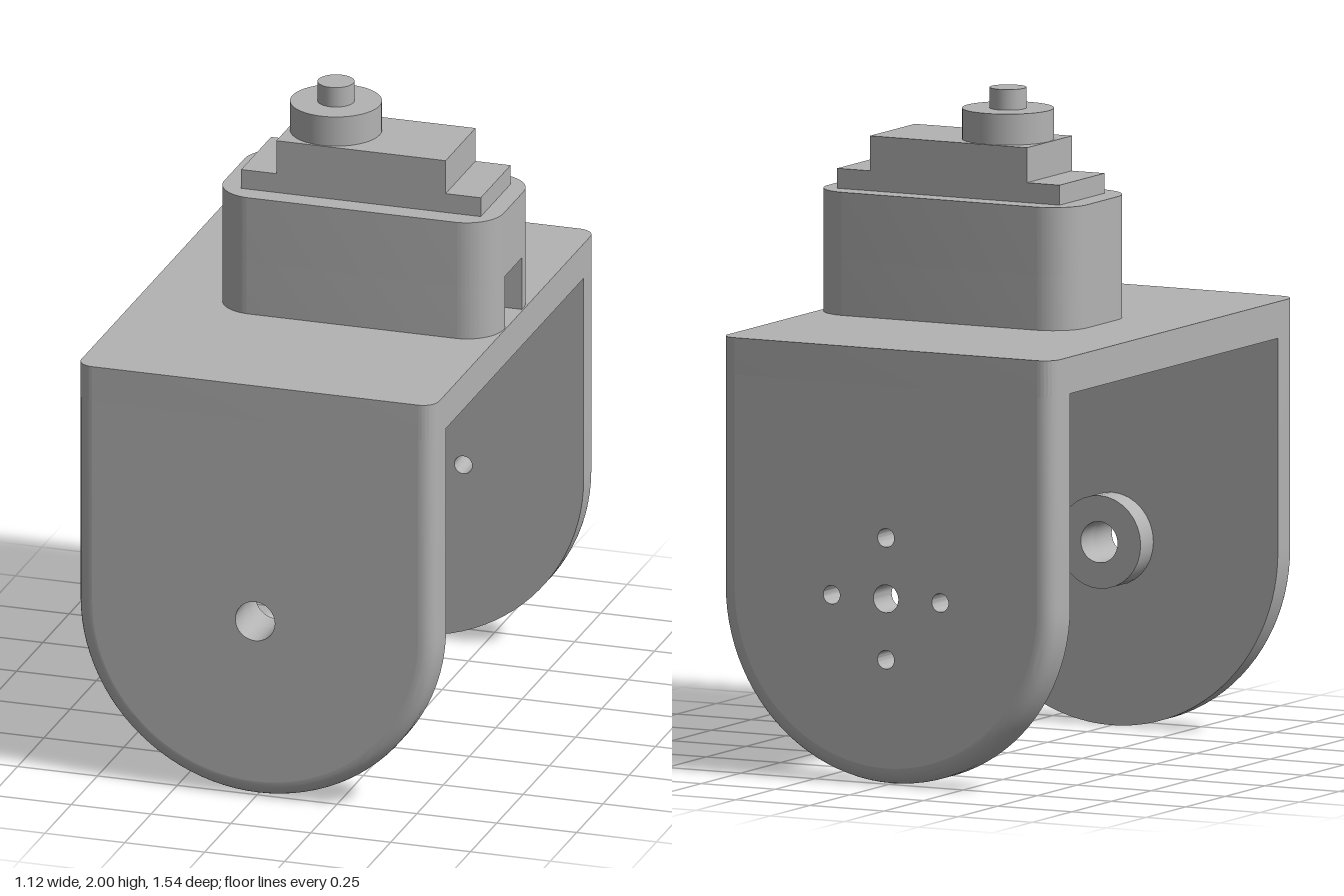
import * as THREE from 'three';
import { toCreasedNormals } from 'three/addons/utils/BufferGeometryUtils.js';

const W = 0.56, PIVOT = 0.56, DEPTH = 0.77, INNER = 0.655, DECK = 1.2, TOP = 1.31, FILLET = 0.05;

// Outline of a U-shaped cheek, shrunk by an inset
function cheekOutline(inset) {
  const r = W - inset, pts = [new THREE.Vector2(-r, DECK)];
  for (let i = 0; i <= 48; i++) {
    const a = Math.PI * (1 + i / 48);
    pts.push(new THREE.Vector2(r * Math.cos(a), PIVOT + r * Math.sin(a)));
  }
  pts.push(new THREE.Vector2(r, DECK));
  return pts;
}

function circle(x, y, r) {
  return new THREE.Path().absarc(x, y, r, 0, Math.PI * 2, true);
}

// Rounded footprint in plan, with an optional notch in its +x side
function footprint(x0, x1, hz, r, notch) {
  const s = new THREE.Shape();
  s.moveTo(x0 + r, -hz);
  s.lineTo(x1 - r, -hz);
  s.absarc(x1 - r, -hz + r, r, -Math.PI / 2, 0, false);
  if (notch) {
    s.lineTo(x1, -notch.half);
    s.lineTo(x1 - notch.depth, -notch.half);
    s.lineTo(x1 - notch.depth, notch.half);
    s.lineTo(x1, notch.half);
  }
  s.absarc(x1 - r, hz - r, r, 0, Math.PI / 2, false);
  s.absarc(x0 + r, hz - r, r, Math.PI / 2, Math.PI, false);
  s.absarc(x0 + r, -hz + r, r, Math.PI, Math.PI * 1.5, false);
  return s;
}

function extrude(shape, depth) {
  const g = new THREE.ExtrudeGeometry(shape, { depth, bevelEnabled: false, curveSegments: 16 });
  return toCreasedNormals(g, 0.6);
}

// Rim of a cheek: inner border, straight edge, then a rounded outer edge
function cheekRim() {
  const profile = [[FILLET, INNER], [0, INNER]];
  for (let i = 0; i <= 8; i++) {
    const a = (i / 8) * Math.PI / 2;
    profile.push([FILLET * (1 - Math.cos(a)), DEPTH - FILLET + FILLET * Math.sin(a)]);
  }
  const pos = [], idx = [];
  let n = 0;
  profile.forEach(([inset, z], j) => {
    const pts = cheekOutline(inset);
    n = pts.length;
    pts.forEach((p, i) => {
      pos.push(p.x, p.y, z);
      if (j > 0 && i > 0) {
        const d = j * n + i, c = d - 1, b = d - n, a = b - 1;
        idx.push(a, b, d, a, d, c);
      }
    });
  });
  const g = new THREE.BufferGeometry();
  g.setAttribute('position', new THREE.Float32BufferAttribute(pos, 3));
  g.setIndex(idx);
  return toCreasedNormals(g, 0.6);
}

export function createModel() {
  const model = new THREE.Group();
  const grey = new THREE.MeshStandardMaterial({ color: 0xb3b3b3 });
  grey.name = 'plain grey';

  function add(parent, name, geometry, x = 0, y = 0, z = 0) {
    const m = new THREE.Mesh(geometry, grey);
    m.name = name;
    m.position.set(x, y, z);
    parent.add(m);
    return m;
  }
  const slab = (name, shape, y0, y1) =>
    add(model, name, extrude(shape, y1 - y0).rotateX(-Math.PI / 2), 0, y0, 0);

  // Cheek plate with drilled holes, facing +z
  function cheek(name, holes) {
    const g = new THREE.Group();
    g.name = name;
    const face = new THREE.Shape(cheekOutline(FILLET));
    face.holes = holes;
    add(g, name + 'Face', extrude(face, DEPTH - INNER), 0, 0, INNER);
    add(g, name + 'Rim', cheekRim());
    model.add(g);
    return g;
  }

  // Bracket: front cheek with pivot boss, back cheek with bolt circle, deck
  const front = cheek('frontCheek', [circle(0, PIVOT, 0.062)]);
  const ring = new THREE.Shape().absarc(0, PIVOT, 0.14, 0, Math.PI * 2, false);
  ring.holes.push(circle(0, PIVOT, 0.062));
  add(front, 'pivotBoss', extrude(ring, 0.08), 0, 0, INNER - 0.08);

  const bolts = [circle(0, PIVOT, 0.042)];
  for (let i = 0; i < 4; i++) {
    const a = i * Math.PI / 2;
    bolts.push(circle(0.183 * Math.cos(a), PIVOT + 0.183 * Math.sin(a), 0.028));
  }
  cheek('backCheek', bolts).rotation.y = Math.PI;
  slab('deck', footprint(-W, W, DEPTH, FILLET), DECK, TOP);

  // Motor housing with a cable notch low on its left end
  slab('housingBase', footprint(-0.318, 0.556, 0.21, 0.115, { half: 0.08, depth: 0.22 }), TOP, 1.475);
  slab('housingTop', footprint(-0.318, 0.556, 0.21, 0.115), 1.475, 1.68);

  // Stepped gear cover
  add(model, 'lowerStep', new THREE.BoxGeometry(0.75, 0.06, 0.284), 0.125, 1.71, 0);
  add(model, 'upperStep', new THREE.BoxGeometry(0.53, 0.105, 0.284), 0.125, 1.7925, 0);

  // Output collar and shaft
  add(model, 'outputCollar', new THREE.CylinderGeometry(0.137, 0.137, 0.093, 48), 0, 1.8915, 0);
  add(model, 'outputShaft', new THREE.CylinderGeometry(0.055, 0.055, 0.064, 32), 0, 1.968, 0);
  return model;
}
